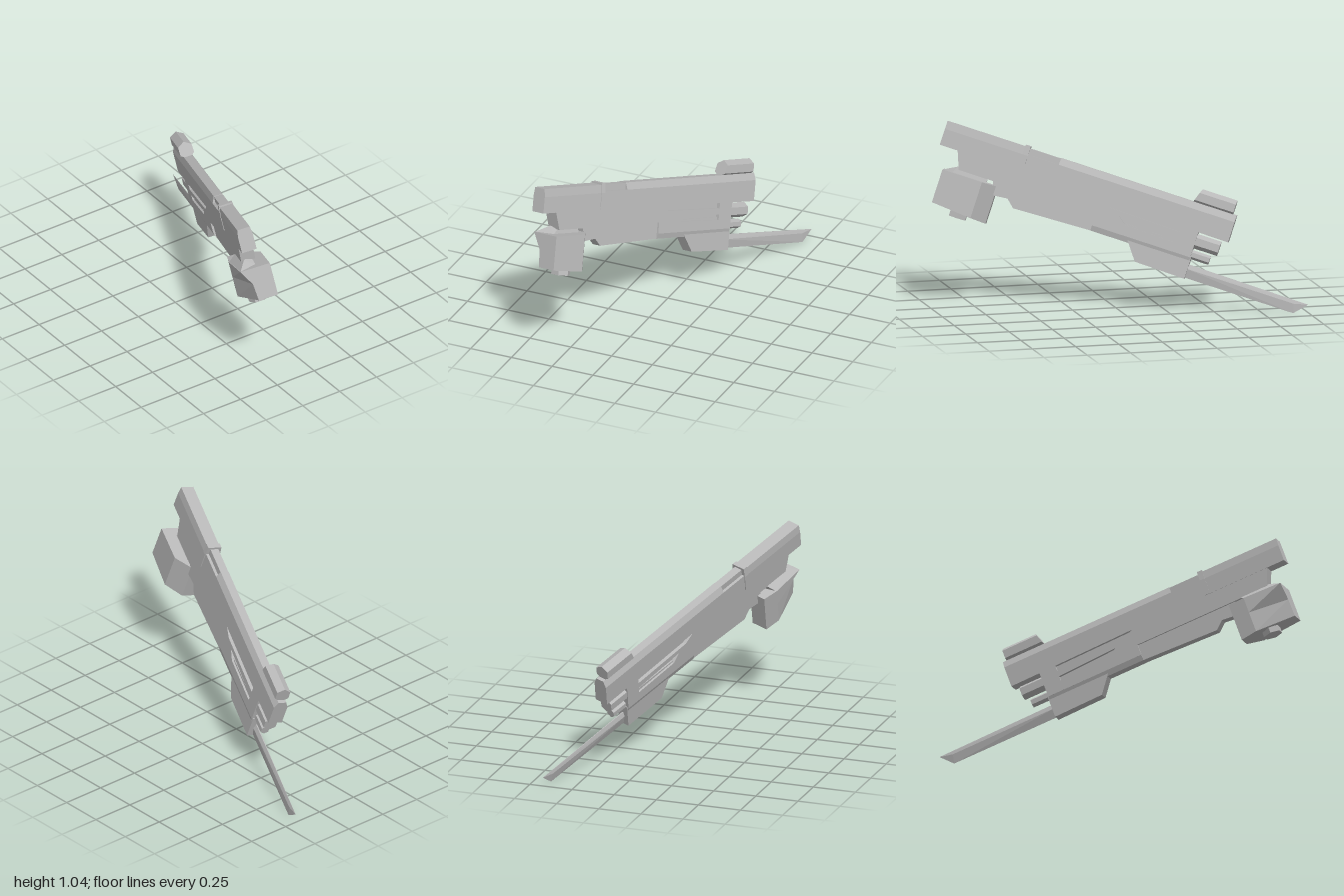
import * as THREE from 'three';
import { ConvexGeometry } from 'three/addons/geometries/ConvexGeometry.js';

// Local frame: x runs to the muzzle, y is up, z is the thickness.
export function createModel() {
  const grey = new THREE.MeshStandardMaterial({ color: 0xb8b8b8, flatShading: true });
  grey.name = 'gunmetal grey';
  const gun = new THREE.Group();
  gun.name = 'rifle';

  const add = (name, geometry) => {
    const mesh = new THREE.Mesh(geometry, grey);
    mesh.name = name;
    gun.add(mesh);
    return mesh;
  };
  // Side profile extruded between two depths, with optional pockets cut through
  const slab = (name, profile, z0, z1, holes = []) => {
    const shape = new THREE.Shape(profile.map(p => new THREE.Vector2(...p)));
    for (const h of holes) shape.holes.push(new THREE.Path(h.map(p => new THREE.Vector2(...p))));
    const g = new THREE.ExtrudeGeometry(shape, { depth: z1 - z0, bevelEnabled: false });
    return add(name, g.translate(0, 0, z0));
  };
  // Convex solid from its corners
  const hull = (name, points) =>
    add(name, new ConvexGeometry(points.map(p => new THREE.Vector3(...p))));
  // Mirrored cross-section [y, halfWidth] running along x
  const beam = (name, x0, x1, section) =>
    hull(name, [x0, x1].flatMap(x => section.flatMap(([y, w]) => [[x, y, w], [x, y, -w]])));
  // Six-sided bar along x
  const hexBar = (name, x0, x1, y, r) => {
    const g = new THREE.CylinderGeometry(r, r, x1 - x0, 6).rotateY(Math.PI / 6);
    return add(name, g.rotateZ(-Math.PI / 2).translate((x0 + x1) / 2, y, 0));
  };

  // Receiver: solid core and two outer plates with pockets
  const body = [
    [-1.068, 0.466], [-0.265, 0.466], [-0.265, 0.403], [0.312, 0.403],
    [0.312, 0.55], [0.487, 0.548], [0.487, 0.667], [-1.107, 0.667], [-1.107, 0.567],
  ];
  const pockets = [
    [[-0.264, 0.56], [-0.2, 0.528], [0.214, 0.52], [0.214, 0.552]],
    [[-0.14, 0.502], [-0.09, 0.462], [0.214, 0.455], [0.214, 0.486]],
  ];
  slab('receiverCore', body, -0.02, 0.02);
  slab('receiverPlateRight', body, 0.02, 0.041, pockets);
  slab('receiverPlateLeft', body, -0.041, -0.02, pockets);

  // Chamfered top, with a narrow grooved stretch behind it
  beam('topRail', -0.545, 0.487, [[0.667, 0.041], [0.705, 0.024]]);
  beam('topGroove', -0.76, -0.5, [[0.66, 0.024], [0.702, 0.024]]);

  // Stock and its front band
  beam('stock', -1.212, -0.74, [[0.567, 0.043], [0.66, 0.043], [0.705, 0.037]]);
  beam('stockBand', -0.755, -0.725, [[0.567, 0.046], [0.66, 0.046], [0.714, 0.04]]);

  // Inset lower rail
  slab('lowerRail', [
    [-0.87, 0.47], [-0.84, 0.39], [-0.76, 0.398], [-0.714, 0.356], [-0.28, 0.372],
    [0.3, 0.372], [0.3, 0.47],
  ], -0.029, 0.029);
  beam('lowerChamfer', -0.265, 0.312, [[0.404, 0.041], [0.372, 0.031]]);

  // Bayonet mount
  slab('bayonetMount', [[-0.055, 0.39], [0.025, 0.284], [0.317, 0.279], [0.317, 0.41], [-0.055, 0.41]], -0.035, 0.035);

  // Blade: ridged section drawn to a slanted point
  hull('blade', [
    [0.3, 0.362, 0.003], [0.3, 0.362, -0.003], [0.3, 0.335, 0.012], [0.3, 0.335, -0.012], [0.3, 0.284, 0],
    [0.94, 0.335, 0.006], [0.94, 0.335, -0.006], [1.018, 0.355, 0], [0.953, 0.284, 0],
  ]);

  // Muzzle bars
  hexBar('barrel', 0.3, 0.45, 0.497, 0.042);
  hexBar('guideRod', 0.3, 0.418, 0.419, 0.026);

  // Six-sided sight tube with a raked rear face
  const sight = hexBar('sightTube', 0.23, 0.464, 0.739, 0.046);
  const pos = sight.geometry.attributes.position;
  for (let i = 0; i < pos.count; i++) {
    if (pos.getX(i) < 0.3) pos.setX(i, 0.23 + (pos.getY(i) - 0.7) * 0.35);
  }

  // Rear block: plan outline [x, z], flared on its rear left corner
  const plan = rearZ => [[-1.152, 0.102], [-0.92, 0.1], [-0.835, 0.022], [-0.835, -0.078], [-0.93, -0.09], [-1.152, rearZ]];
  const layer = (rearZ, height) => plan(rearZ).map(([x, z]) => [x, height(x), z]);
  const bottom = layer(-0.011, x => 0.251 - (x + 1.152) * 0.08);
  const middle = layer(-0.02, () => 0.352);
  const top = layer(-0.072, () => 0.443);
  hull('rearBlockLower', [...bottom, ...middle]);
  hull('rearBlockUpper', [...middle, ...top]);
  hull('rearBlockShoulder', [
    [-1.152, 0.44, -0.072], [-0.93, 0.44, -0.09], [-1.08, 0.48, -0.025], [-0.9, 0.48, -0.025],
    [-1.1, 0.44, 0.03], [-0.9, 0.44, 0.03], [-1.05, 0.48, 0.02], [-0.9, 0.48, 0.02],
  ]);
  add('rearBlockKnob', new THREE.CylinderGeometry(0.055, 0.055, 0.06, 6).translate(-0.995, 0.237, 0.01));

  // Tilt the rifle into its resting pose
  const forward = new THREE.Vector3(0.354, -0.294, -0.888).normalize();
  const side = forward.clone().cross(new THREE.Vector3(-0.06, 0.94, -0.336)).normalize();
  const up = side.clone().cross(forward);
  gun.quaternion.setFromRotationMatrix(new THREE.Matrix4().makeBasis(forward, up, side));
  gun.updateMatrixWorld(true);

  // Centre it and stand it on the ground
  const box = new THREE.Box3().setFromObject(gun, true);
  const middlePoint = box.getCenter(new THREE.Vector3());
  gun.position.set(-middlePoint.x, -box.min.y, -middlePoint.z);

  const model = new THREE.Group();
  model.add(gun);
  return model;
}
